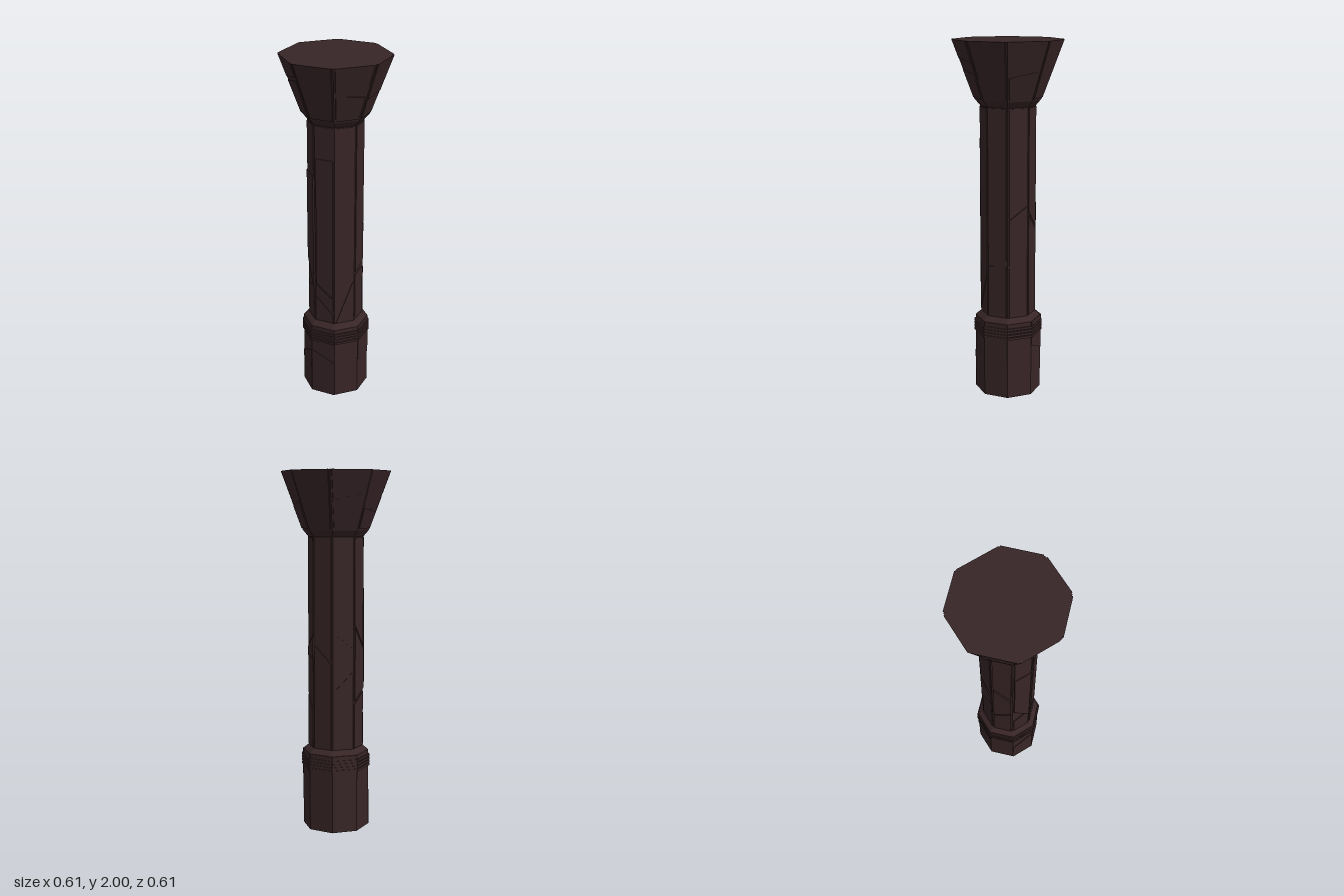
import * as THREE from 'three';

const SIDES = 8;

// Corner radius of the column's core at each height
const PROFILE = [
  [0, 0], [0.186, 0], [0.186, 0.44], [0.153, 0.467], [0.153, 1.645],
  [0.183, 1.68], [0.302, 2], [0, 2],
];

// Split faces so every side has a crisp edge
function flat(geometry) {
  const g = geometry.toNonIndexed();
  g.computeVertexNormals();
  return g;
}

function lathe(points) {
  return flat(new THREE.LatheGeometry(points.map(([r, y]) => new THREE.Vector2(r, y)), SIDES));
}

// Thin stone slab on one side of the octagon; its lower and upper edges may slant.
// side 0 runs from the front corner towards +x; radius maps height to corner radius.
function slab(side, [b0, b1, t0, t1, lift], radius, gap) {
  const g = new THREE.BoxGeometry(1, 1, 1);
  const p = g.attributes.position;
  const a0 = side * Math.PI / 4, a1 = a0 + Math.PI / 4, mid = (a0 + a1) / 2;
  for (let i = 0; i < p.count; i++) {
    const right = p.getX(i) > 0, top = p.getY(i) > 0;
    const y = right ? (top ? t1 : b1) : (top ? t0 : b0);
    const r = radius(y);
    const inset = gap / (r * 0.765);
    const t = right ? 1 - inset : inset;
    const off = p.getZ(i) > 0 ? lift : -0.006;
    p.setXYZ(i,
      r * THREE.MathUtils.lerp(Math.sin(a0), Math.sin(a1), t) + off * Math.sin(mid),
      y,
      r * THREE.MathUtils.lerp(Math.cos(a0), Math.cos(a1), t) + off * Math.cos(mid));
  }
  return flat(g);
}

// Per side: slabs as [lower left, lower right, upper left, upper right, lift]
const SHAFT = [
  [[0.47, 0.47, 0.47, 0.72, 0.003], [0.48, 0.73, 1.64, 1.64, 0.005]],
  [[0.47, 0.47, 0.76, 0.77, 0.003], [0.78, 0.8, 1.64, 1.64, 0.005]],
  [[0.47, 0.47, 0.76, 0.68, 0.006], [0.77, 0.69, 0.98, 0.98, 0.004],
    [0.98, 0.98, 1.03, 1.1, 0.007], [1.04, 1.11, 1.64, 1.64, 0.004]],
  [[0.47, 0.47, 1.05, 0.95, 0.005], [1.07, 0.97, 1.64, 1.64, 0.005]],
  [[0.47, 0.47, 0.8, 0.9, 0.003], [0.81, 0.91, 1.1, 1.02, 0.007], [1.12, 1.04, 1.64, 1.64, 0.004]],
  [[0.47, 0.47, 0.72, 0.78, 0.005], [0.74, 0.8, 1.15, 1.02, 0.008], [1.17, 1.04, 1.64, 1.64, 0.005]],
  [[0.47, 0.47, 0.65, 0.7, 0.005], [0.83, 0.66, 1.36, 1.35, 0.009], [1.36, 1.35, 1.64, 1.64, 0.005]],
  [[0.47, 0.47, 0.62, 0.52, 0.004], [0.64, 0.54, 0.7, 0.62, 0.006],
    [0.71, 0.63, 1.46, 1.46, 0.007], [1.46, 1.46, 1.64, 1.64, 0.003]],
];
const CAPITAL = [
  [[1.69, 1.69, 1.84, 1.82, 0.006], [1.85, 1.83, 1.9, 1.885, 0.002], [1.9, 1.885, 2, 2, 0.006]],
  [[1.69, 1.69, 1.8, 1.81, 0.005], [1.8, 1.81, 2, 2, 0.007]],
  [[1.69, 1.69, 1.81, 1.84, 0.006], [1.82, 1.85, 1.99, 1.99, 0.001]],
  [[1.69, 1.69, 2, 2, 0.006]],
  [[1.69, 1.69, 1.84, 1.88, 0.004], [1.85, 1.89, 2, 2, 0.006]],
  [[1.69, 1.69, 1.8, 1.78, 0.006], [1.81, 1.79, 1.99, 1.99, 0.001]],
  [[1.69, 1.69, 1.86, 1.9, 0.005], [1.88, 1.92, 2, 2, 0.004]],
  [[1.69, 1.69, 2, 2, 0.006]],
];
const BASE = [
  [], [[0.22, 0.22, 0.44, 0.44, 0.003]], [], [[0.3, 0.24, 0.44, 0.44, 0.004]],
  [[0.25, 0.3, 0.44, 0.44, 0.004]], [], [[0, 0, 0.2, 0.28, 0.004]], [[0, 0, 0.28, 0.22, 0.003]],
];

export function createModel() {
  const model = new THREE.Group();
  model.name = 'octagonalColumn';
  const stone = new THREE.MeshStandardMaterial({ color: 0x382527 });
  stone.name = 'dark brown stone';

  const add = (geometry, name, parent = model) => {
    const mesh = new THREE.Mesh(geometry, stone);
    mesh.name = name;
    parent.add(mesh);
  };

  add(lathe(PROFILE), 'columnCore');

  // Narrow bands around the top of the base
  const bands = new THREE.Group();
  bands.name = 'baseBands';
  model.add(bands);
  for (let i = 0; i < 4; i++) {
    const y = 0.348 + i * 0.018;
    add(lathe([[0.18, y], [0.194, y], [0.194, y + 0.013], [0.18, y + 0.013]]), 'baseBand', bands);
  }

  // Cracked slabs facing each section
  const cladding = (name, sides, radius, gap) => {
    const group = new THREE.Group();
    group.name = name + 's';
    model.add(group);
    sides.forEach((rows, side) => rows.forEach((row) => add(slab(side, row, radius, gap), name, group)));
  };
  cladding('baseSlab', BASE, () => 0.186, 0.001);
  cladding('shaftSlab', SHAFT, () => 0.153, 0.008);
  cladding('capitalSlab', CAPITAL, (y) => 0.183 + (y - 1.68) / 0.32 * 0.119, 0.009);

  return model;
}
